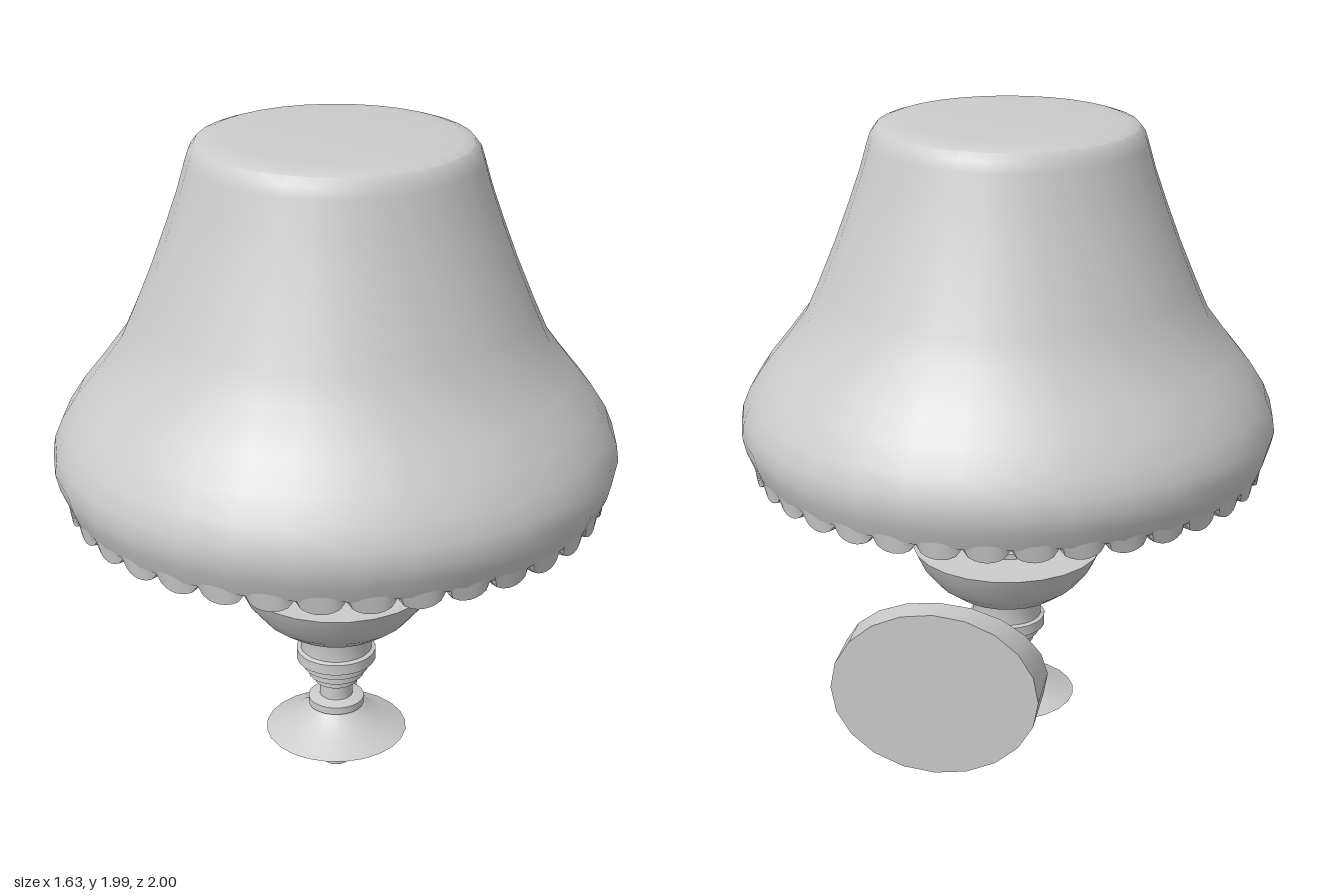
import * as THREE from 'three';
import { toCreasedNormals } from 'three/addons/utils/BufferGeometryUtils.js';

const AXIS_Z = 0.185; // the lamp stands forward of the wall mount
const material = new THREE.MeshStandardMaterial({ color: 0xcccccc });
const doubleMaterial = new THREE.MeshStandardMaterial({ color: 0xcccccc, side: THREE.DoubleSide });

function part(name, geometry, mat = material) {
  const mesh = new THREE.Mesh(geometry, mat);
  mesh.name = name;
  return mesh;
}

// Turned part from [radius, y] pairs listed from the bottom up
function turned(name, profile, segments, crease = 0.6) {
  const points = profile.map(([r, y]) => new THREE.Vector2(r, y));
  const mesh = part(name, toCreasedNormals(new THREE.LatheGeometry(points, segments), crease));
  mesh.position.z = AXIS_Z;
  return mesh;
}

// Ring of rounded lobes hanging below the shade
function scallopedTrim(lobes) {
  const points = [[0.705, 1.03], [0.75, 0.92], [0.772, 0.92], [0.785, 0.98]]
    .map(([r, y]) => new THREE.Vector2(r, y));
  const geometry = new THREE.LatheGeometry(points, lobes * 8);
  const pos = geometry.attributes.position;
  for (let i = 0; i < pos.count; i++) {
    const x = pos.getX(i), y = pos.getY(i), z = pos.getZ(i);
    if (y > 0.93) continue;
    const lobe = Math.sqrt(Math.abs(Math.sin(Math.atan2(x, z) * lobes / 2)));
    const bulge = 1 + 0.012 * (lobe - 0.5);
    pos.setXYZ(i, x * bulge, y + 0.035 * (1 - lobe), z * bulge);
  }
  const mesh = part('scallopedTrim', toCreasedNormals(geometry, 0.6), doubleMaterial);
  mesh.position.z = AXIS_Z;
  return mesh;
}

// Oval plate along z whose front is cut on a slant
function slantedPlate(name, rx, ry, y, back, front, slope) {
  const geometry = new THREE.CylinderGeometry(1, 1, 1, 20).rotateX(Math.PI / 2);
  const pos = geometry.attributes.position;
  for (let i = 0; i < pos.count; i++) {
    const dy = pos.getY(i) * ry;
    const z = pos.getZ(i) > 0 ? front - slope * dy : back;
    pos.setXYZ(i, pos.getX(i) * rx, y + dy, z);
  }
  return part(name, toCreasedNormals(geometry, 0.6));
}

export function createModel() {
  const lamp = new THREE.Group();
  lamp.name = 'wallLamp';

  // Shade, closed underneath and on top
  lamp.add(turned('shade', [
    [0, 1.03], [0.72, 1.03], [0.768, 0.96], [0.782, 0.96], [0.803, 1.01], [0.815, 1.06],
    [0.808, 1.11], [0.785, 1.165], [0.74, 1.235], [0.68, 1.31], [0.605, 1.41], [0.565, 1.5],
    [0.515, 1.62], [0.47, 1.74], [0.435, 1.84], [0.412, 1.92], [0.402, 1.95], [0.385, 1.972],
    [0.355, 1.982], [0.3, 1.985], [0, 1.985],
  ], 32));
  lamp.add(scallopedTrim(36));

  // Turned stem: foot, stepped collar, bowl and holder
  lamp.add(turned('foot', [
    [0, 0], [0.04, 0], [0.04, 0.025], [0.06, 0.035], [0.105, 0.07], [0.155, 0.1], [0.215, 0.12],
    [0.15, 0.15], [0.085, 0.19], [0.07, 0.205], [0, 0.205],
  ], 24));
  lamp.add(turned('steppedCollar', [
    [0, 0.205], [0.085, 0.205], [0.085, 0.228], [0.05, 0.236], [0.05, 0.28], [0.065, 0.285],
    [0.065, 0.31], [0.085, 0.31], [0.085, 0.335], [0.1, 0.335], [0.1, 0.362], [0.12, 0.362],
    [0.12, 0.395], [0.108, 0.4], [0.108, 0.43], [0.115, 0.475], [0, 0.475],
  ], 24));
  lamp.add(turned('bowl', [
    [0, 0.465], [0.11, 0.465], [0.17, 0.485], [0.225, 0.525], [0.27, 0.58], [0.297, 0.637], [0, 0.637],
  ], 24));
  lamp.add(turned('holder', [
    [0, 0.637], [0.13, 0.637], [0.13, 0.655], [0.108, 0.66], [0.105, 0.7], [0.113, 0.757],
    [0.238, 0.757], [0.242, 0.79], [0.215, 0.8], [0.203, 0.825], [0.206, 0.87], [0.225, 0.95], [0.235, 1.03],
  ], 24));

  // Curved arm from foot to wall
  const path = new THREE.CatmullRomCurve3([
    [0.15, 0.05], [0.18, -0.02], [0.32, -0.155], [0.475, -0.285], [0.6, -0.44], [0.675, -0.6], [0.71, -0.72], [0.715, -0.82],
  ].map(([y, z]) => new THREE.Vector3(0, y, z)));
  lamp.add(part('arm', new THREE.TubeGeometry(path, 24, 0.04, 8)));

  // Wall mount
  lamp.add(slantedPlate('wallPlate', 0.275, 0.23, 0.725, -1, -0.832, 0.402));
  lamp.add(slantedPlate('mountCollar', 0.19, 0.155, 0.715, -0.95, -0.775, 0.387));

  return lamp;
}
